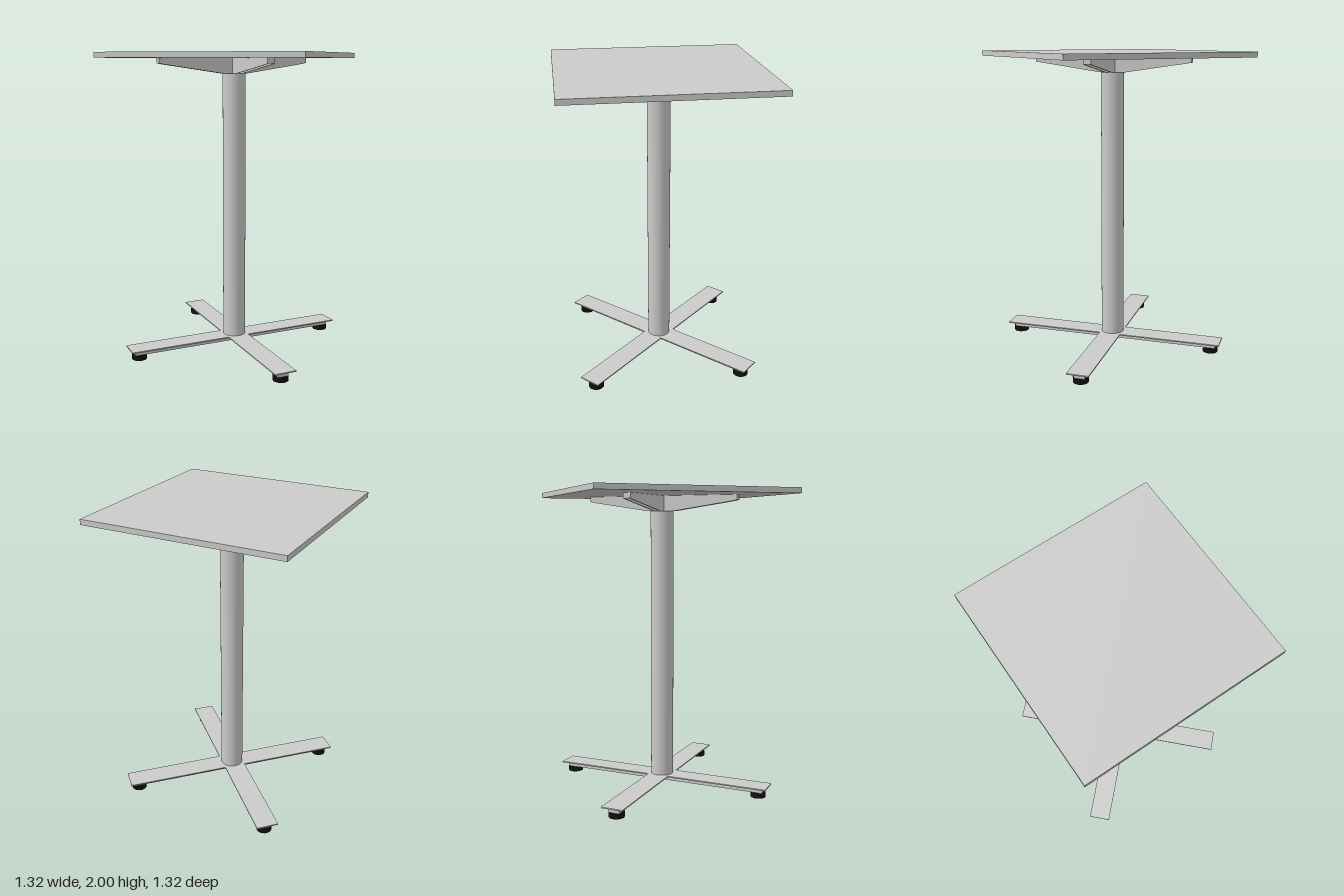
import * as THREE from 'three';

const grey = new THREE.MeshStandardMaterial({ color: 0xcccccc });
const black = new THREE.MeshStandardMaterial({ color: 0x111111 });

function part(name, geometry, material, parent, x = 0, y = 0, z = 0) {
  const mesh = new THREE.Mesh(geometry, material);
  mesh.name = name;
  mesh.position.set(x, y, z);
  parent.add(mesh);
  return mesh;
}

// Flat plus-shaped slab: arms of half length l and half width w, rising from y = 0
function crossGeometry(l, w, height) {
  const corners = [];
  for (let i = 0; i < 4; i++) {
    const c = new THREE.Vector2();
    for (const [x, y] of [[w, -w], [l, -w], [l, w]]) {
      corners.push(new THREE.Vector2(x, y).rotateAround(c, i * Math.PI / 2));
    }
  }
  const g = new THREE.ExtrudeGeometry(new THREE.Shape(corners), { depth: height, bevelEnabled: false });
  return g.rotateX(-Math.PI / 2);
}

// Tapered side wall of a support channel, centred on z = 0
function wallGeometry(thickness) {
  const s = new THREE.Shape();
  s.moveTo(-0.527, 0.1);
  s.lineTo(-0.527, 0.082);
  s.quadraticCurveTo(-0.525, 0.064, -0.505, 0.061);
  s.lineTo(-0.09, 0);
  s.lineTo(0.09, 0);
  s.lineTo(0.505, 0.061);
  s.quadraticCurveTo(0.525, 0.064, 0.527, 0.082);
  s.lineTo(0.527, 0.1);
  const g = new THREE.ExtrudeGeometry(s, { depth: thickness, bevelEnabled: false, curveSegments: 5 });
  return g.translate(0, 0, -thickness / 2);
}

export function createModel() {
  const model = new THREE.Group();
  model.name = 'pedestalTable';

  part('tableTop', new THREE.BoxGeometry(1.32, 0.035, 1.32), grey, model, 0, 1.9825, 0);
  part('column', new THREE.CylinderGeometry(0.076, 0.076, 1.791, 48), grey, model, 0, 0.9695, 0);

  // Diagonal cross base: thin plate over a narrower rib
  const base = new THREE.Group();
  base.name = 'base';
  base.rotation.y = Math.PI / 4;
  model.add(base);
  part('basePlate', crossGeometry(0.761, 0.073, 0.008), grey, base, 0, 0.066, 0);
  part('baseRib', crossGeometry(0.73, 0.036, 0.033), grey, base, 0, 0.034, 0);

  // Feet under the four arm ends
  const footGeometry = new THREE.CylinderGeometry(0.05, 0.05, 0.034, 32);
  for (const x of [-0.49, 0.49]) {
    for (const z of [-0.49, 0.49]) part('foot', footGeometry, black, model, x, 0.017, z);
  }

  // Two crossed channels, open downwards, carrying the top
  const wall = wallGeometry(0.007);
  const endCap = new THREE.BoxGeometry(0.007, 0.035, 0.05);
  for (const angle of [Math.PI / 4, -Math.PI / 4]) {
    const channel = new THREE.Group();
    channel.name = 'topSupport';
    channel.rotation.y = angle;
    channel.position.y = 1.865;
    model.add(channel);
    for (const side of [-1, 1]) {
      part('supportWall', wall, grey, channel, 0, 0, side * 0.0215);
      part('supportEnd', endCap, grey, channel, side * 0.5225, 0.0825, 0);
    }
  }
  return model;
}
